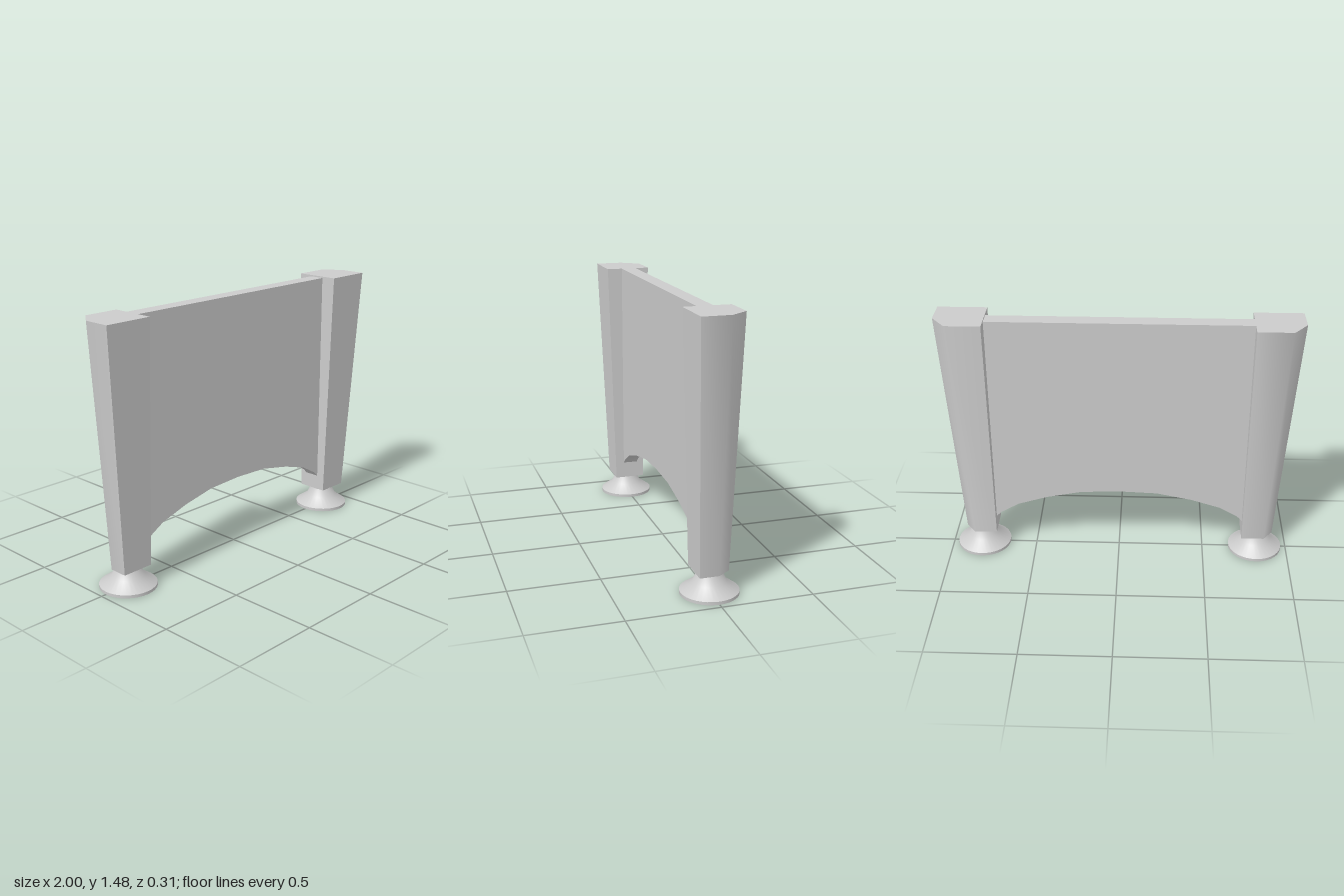
import * as THREE from 'three';
import { toCreasedNormals } from 'three/addons/utils/BufferGeometryUtils.js';

const material = new THREE.MeshStandardMaterial({ color: 0xcccccc });
const INNER = 0.725;

function addMesh(group, name, geometry) {
  const mesh = new THREE.Mesh(geometry, material);
  mesh.name = name;
  group.add(mesh);
}

// Tapered post: chamfered plan at the top, shrinking toward the foot
function postGeometry(side, bottom, top) {
  const plan = [[INNER, -0.125], [1, -0.125], [1, 0.03], [0.922, 0.13], [INNER, 0.13]];
  const shape = new THREE.Shape(plan.map(([x, y]) => new THREE.Vector2(side * x, y)));
  const geo = new THREE.ExtrudeGeometry(shape, { depth: top - bottom, bevelEnabled: false });
  geo.rotateX(-Math.PI / 2);
  geo.translate(0, bottom, 0);
  const p = geo.attributes.position;
  for (let i = 0; i < p.count; i++) {
    const t = (top - p.getY(i)) / (top - bottom);
    const out = side * p.getX(i) - INNER;
    p.setX(i, side * (INNER + out * (1 - 0.33 * t)));
    p.setZ(i, p.getZ(i) * (1 - 0.31 * t));
  }
  return toCreasedNormals(geo, 1.1);
}

// Round foot with a flared base and a thin neck reaching into the post
function footGeometry() {
  const profile = [[0, 0], [0.157, 0], [0.157, 0.017], [0.09, 0.064], [0.067, 0.113],
    [0.027, 0.113], [0.027, 0.135], [0, 0.135]].map(([r, y]) => new THREE.Vector2(r, y));
  return toCreasedNormals(new THREE.LatheGeometry(profile, 32), 0.7);
}

// Thin panel with an arched lower edge
function panelGeometry() {
  const half = [[INNER, 0.215], [0.695, 0.245], [0.59, 0.305], [0.42, 0.357], [0.22, 0.397]];
  const arch = [...half, [0, 0.406], ...half.map(([x, y]) => [-x, y]).reverse()];
  const outline = [[-INNER, 1.47], [INNER, 1.47], ...arch];
  const shape = new THREE.Shape(outline.map(([x, y]) => new THREE.Vector2(x, y)));
  const geo = new THREE.ExtrudeGeometry(shape, { depth: 0.087, bevelEnabled: false });
  geo.translate(0, 0, -0.05);
  return toCreasedNormals(geo, 0.5);
}

export function createModel() {
  const model = new THREE.Group();
  model.name = 'archedPanelOnPosts';
  addMesh(model, 'panel', panelGeometry());
  // The left post sits slightly higher than the right one
  addMesh(model, 'leftPost', postGeometry(1, 0.127, 1.478));
  addMesh(model, 'rightPost', postGeometry(-1, 0.117, 1.47));
  for (const [side, name] of [[1, 'leftFoot'], [-1, 'rightFoot']]) {
    addMesh(model, name, footGeometry().translate(side * 0.814, 0, 0));
  }
  return model;
}
